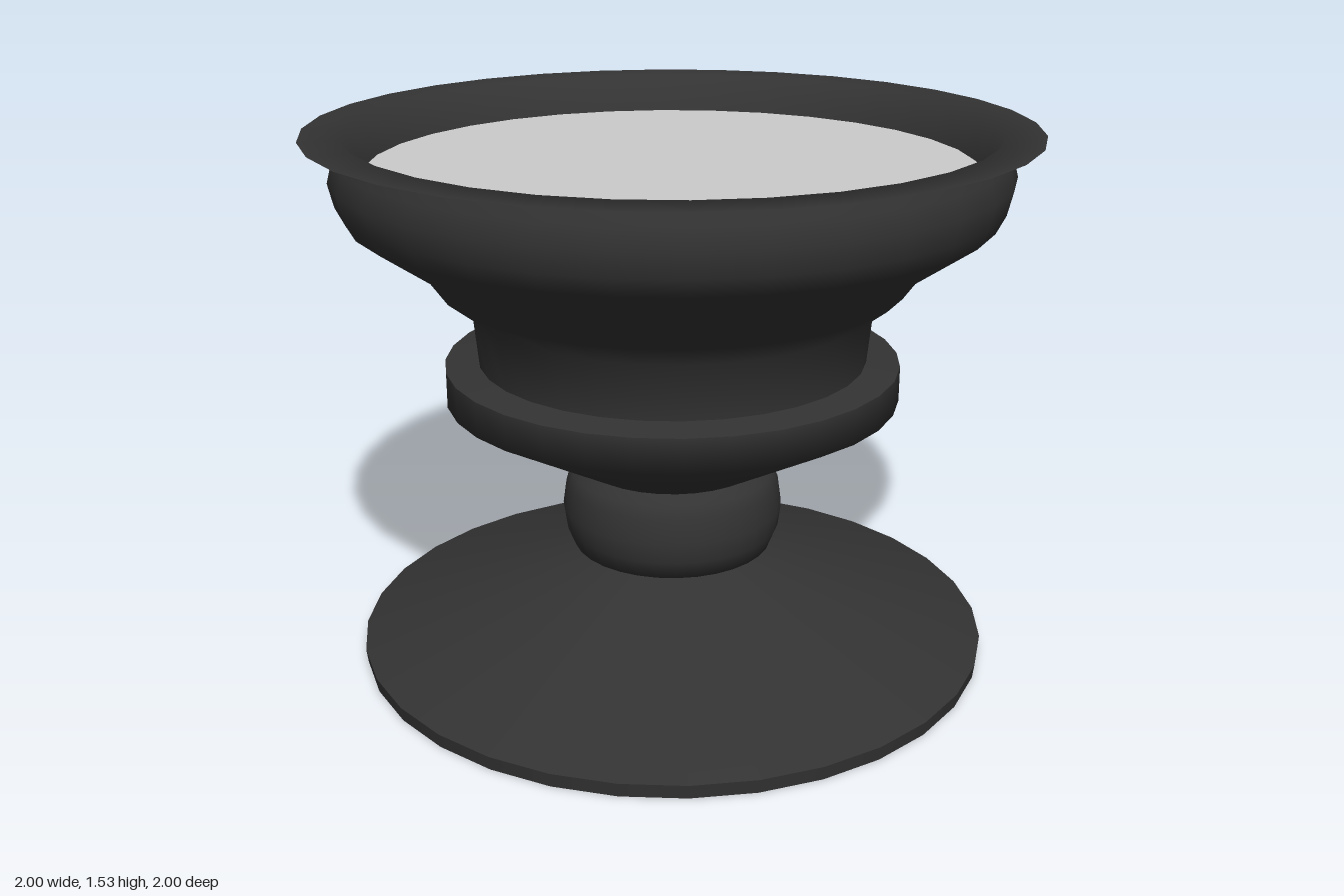
import * as THREE from 'three';

const SIDES = 32;
const dark = new THREE.MeshStandardMaterial({ color: 0x333333, side: THREE.DoubleSide });
const grey = new THREE.MeshStandardMaterial({ color: 0xcccccc, side: THREE.DoubleSide });

// Turned part: each profile of [radius, height] is smooth, with a sharp edge between profiles
function turned(name, material, ...profiles) {
  const part = new THREE.Group();
  part.name = name;
  profiles.forEach((profile, i) => {
    const points = profile.map(([r, y]) => new THREE.Vector2(r, y));
    const mesh = new THREE.Mesh(new THREE.LatheGeometry(points, SIDES), material);
    mesh.name = `${name}Surface${i + 1}`;
    part.add(mesh);
  });
  return part;
}

export function createModel() {
  const model = new THREE.Group();
  model.name = 'pedestal';

  // Wide conical foot
  model.add(turned('foot', dark,
    [[0, 0], [0.91, 0]],
    [[0.91, 0], [0.915, 0.04]],
    [[0.915, 0.04], [0.22, 0.285], [0.17, 0.29]]));

  // Rounded knob between foot and body
  model.add(turned('knob', dark,
    [[0.17, 0.29], [0.29, 0.305], [0.312, 0.36], [0.32, 0.42], [0.31, 0.49], [0.295, 0.525], [0.265, 0.55]]));

  // Flared collar with a flat ledge on top
  model.add(turned('collar', dark,
    [[0.265, 0.55], [0.645, 0.765], [0.645, 0.865]],
    [[0.645, 0.865], [0.55, 0.875]]));

  // Stepped bowl with a bulging rim
  model.add(turned('bowl', dark,
    [[0.55, 0.875], [0.565, 1.03], [0.655, 1.1], [0.705, 1.17], [0.89, 1.3],
      [0.915, 1.35], [0.93, 1.415], [0.915, 1.47], [0.89, 1.525]]));

  // Thin flat flange and the wall sloping down inside it
  model.add(turned('flange', dark,
    [[1, 1.526], [0.89, 1.526], [0.84, 1.42]]));

  // Pale flat disc set into the rim
  model.add(turned('insert', grey, [[0.84, 1.42], [0, 1.42]]));

  return model;
}
